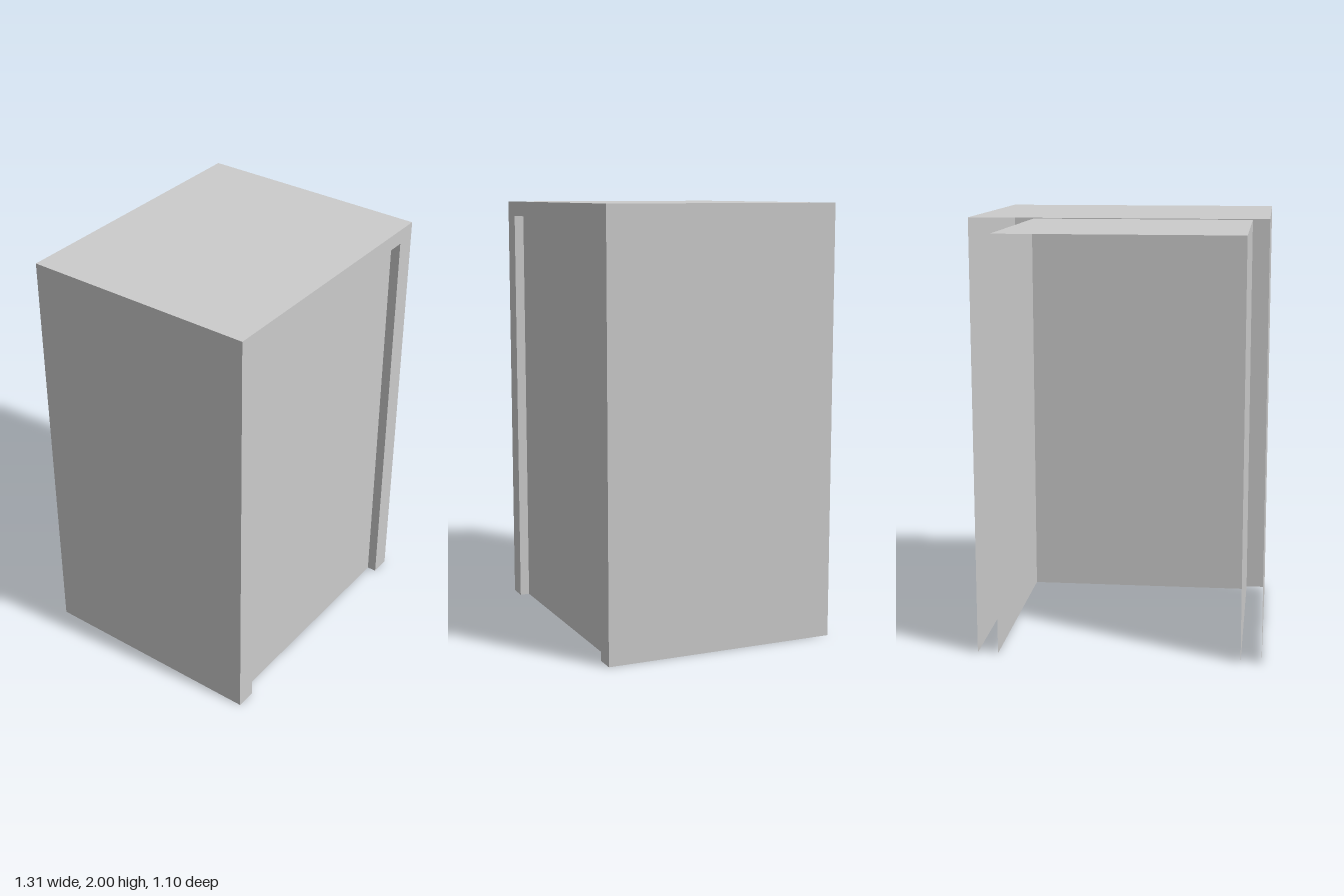
import * as THREE from 'three';

const W = 0.655, H = 2, D = 0.55;      // outer half width, height, half depth
const IW = 0.56, IH = 1.93;            // opening half width and height
const PANEL_Z = 0.505;                 // recessed front panel

export function createModel() {
  const group = new THREE.Group();
  const material = new THREE.MeshStandardMaterial({
    color: 0xcccccc, flatShading: true, side: THREE.DoubleSide,
  });

  const add = (name, geometry, x, y, z) => {
    const mesh = new THREE.Mesh(geometry, material);
    mesh.name = name;
    mesh.position.set(x, y, z);
    group.add(mesh);
  };

  // Outer shell and inner lining: thin sheets, open at the back and bottom
  for (const [prefix, w, h] of [['outer', W, H], ['inner', IW, IH]]) {
    for (const [side, s] of [['Left', 1], ['Right', -1]]) {
      const wall = new THREE.PlaneGeometry(2 * D, h).rotateY(s * Math.PI / 2);
      add(`${prefix}${side}Wall`, wall, s * w, h / 2, 0);
    }
    const top = new THREE.PlaneGeometry(2 * w, 2 * D).rotateX(-Math.PI / 2);
    add(`${prefix}Top`, top, 0, h, 0);
  }

  // Front frame joining the shell to the lining around the doorway
  const frame = new THREE.Shape([
    [-W, 0], [-IW, 0], [-IW, IH], [IW, IH], [IW, 0], [W, 0], [W, H], [-W, H],
  ].map(([x, y]) => new THREE.Vector2(x, y)));
  add('frontFrame', new THREE.ShapeGeometry(frame), 0, 0, D);

  // Slightly recessed door panel
  add('frontPanel', new THREE.PlaneGeometry(2 * IW, IH), 0, IH / 2, PANEL_Z);

  return group;
}
